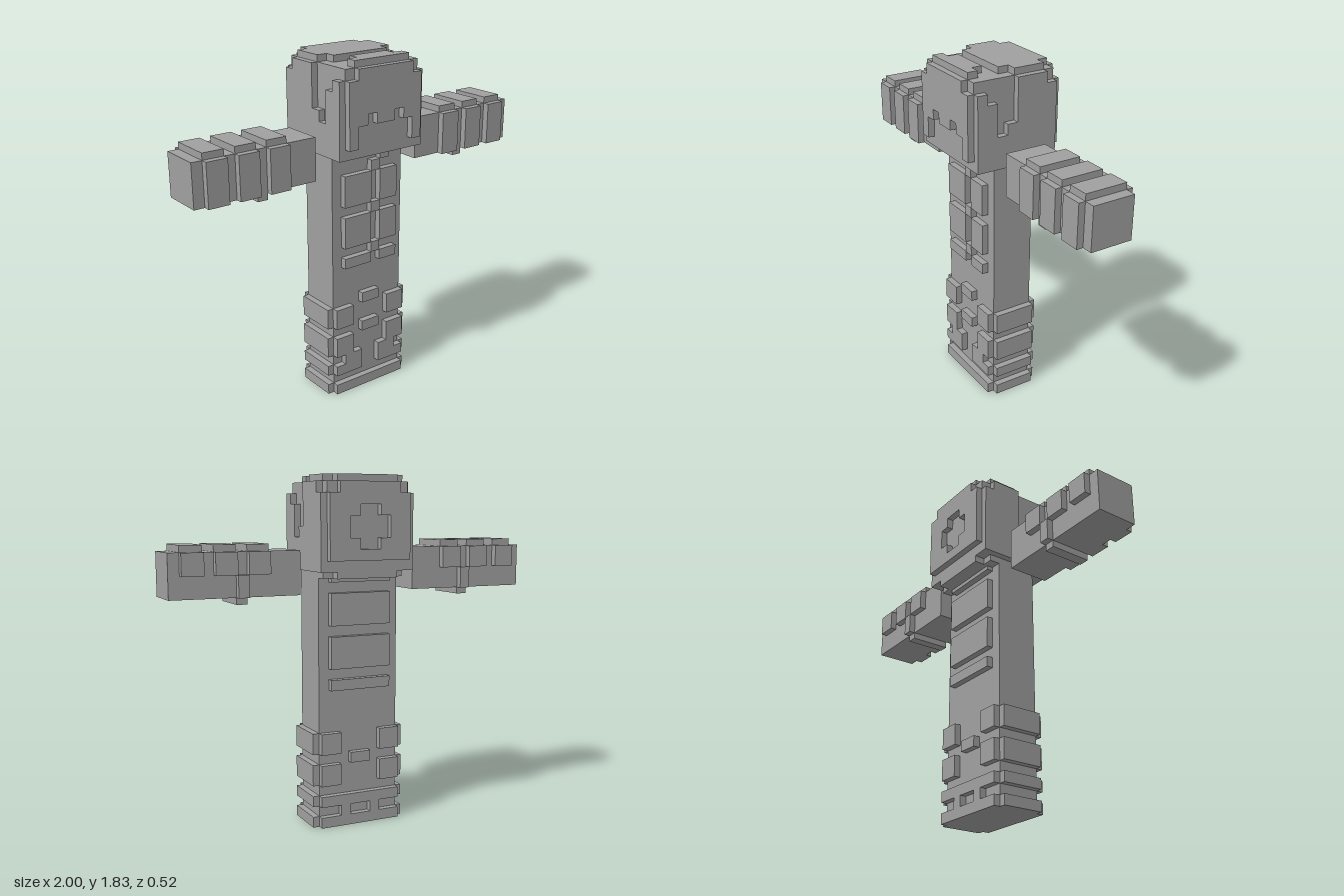
import * as THREE from 'three';

const U = 0.05625; // size of one block cell
const T = 0.62;    // thickness of the raised outer layer, in cells
const gray = new THREE.MeshStandardMaterial({ color: 0xa0a0a0 });
gray.name = 'stone gray';

export function createModel() {
  const model = new THREE.Group();
  model.name = 'blockFigure';

  const group = (name) => {
    const g = new THREE.Group();
    g.name = name;
    model.add(g);
    return g;
  };
  const addMesh = (parent, name, geometry) => {
    const m = new THREE.Mesh(geometry, gray);
    m.name = name;
    parent.add(m);
  };
  // Box from its limits, in cells
  const box = (parent, name, x0, x1, y0, y1, z0, z1) => {
    const g = new THREE.BoxGeometry(Math.abs(x1 - x0), y1 - y0, z1 - z0);
    g.translate((x0 + x1) / 2, (y0 + y1) / 2, (z0 + z1) / 2);
    addMesh(parent, name, g.scale(U, U, U));
  };
  // Stepped outline extruded to the layer thickness
  const plate = (points, holePoints) => {
    const toPoints = (list) => list.map(([x, y]) => new THREE.Vector2(x, y));
    const shape = new THREE.Shape(toPoints(points));
    if (holePoints) shape.holes.push(new THREE.Path(toPoints(holePoints)));
    return new THREE.ExtrudeGeometry(shape, { depth: T, bevelEnabled: false });
  };
  // Completes a half outline by mirroring it across x = 0
  const mirror = (half) => {
    const inner = half.filter(([x]) => x > 0);
    return [...inner, ...inner.map(([x, y]) => [-x, y]).reverse()];
  };

  // Head with its outer hair layer
  const head = group('head');
  box(head, 'headBlock', -4, 4, 24, 32, -4, 4);
  const hair = (name, g, x, y, z) => addMesh(head, name, g.translate(x, y, z).scale(U, U, U));
  // the fringe passes through x = 0 at the level of its inner steps
  const fringe = mirror([[1, 27], [1, 28], [2, 28], [2, 27], [3, 27], [3, 25], [4, 25], [4, 31], [3, 31], [3, 32]]);
  hair('frontHair', plate(fringe), 0, 0, 4);
  const backOutline = mirror([[4, 25], [4, 31], [3, 31], [3, 32]]);
  const cross = mirror([[1, 26], [1, 27], [2, 27], [2, 29], [1, 29], [1, 30]]);
  hair('backHair', plate(backOutline, cross), 0, 0, -4 - T);
  const sideOutline = [[-4, 24], [4, 24], [4, 31], [3, 31], [3, 30], [2, 30], [2, 27], [1, 27],
    [1, 28], [0, 28], [0, 32], [-3, 32], [-3, 31], [-4, 31]];
  for (const x of [4 + T, -4]) {
    hair('sideHair', plate(sideOutline).rotateY(-Math.PI / 2), x, 0, 0);
  }
  const crownBack = mirror([[3, -4], [3, -3], [4, -3], [4, 0], [3, 0], [3, 1]]);
  const crownFront = mirror([[2, 2], [2, 3], [3, 3], [3, 4]]);
  const nape = mirror([[3, -4], [3, -3], [4, -3], [4, -2]]);
  hair('crownBack', plate(crownBack).rotateX(Math.PI / 2), 0, 32 + T, 0);
  hair('crownFront', plate(crownFront).rotateX(Math.PI / 2), 0, 32 + T, 0);
  hair('napeHair', plate(nape).rotateX(Math.PI / 2), 0, 24, 0);

  // Torso and legs in one column
  const body = group('body');
  box(body, 'bodyBlock', -4, 4, 0, 24, -2, 2);
  const front = (name, x0, x1, y0, y1) => box(body, name, x0, x1, y0, y1, 2, 2 + T);
  const back = (name, x0, x1, y0, y1) => box(body, name, x0, x1, y0, y1, -2 - T, -2);

  // Chest and back plates
  for (const [y0, y1] of [[19, 22], [15, 18], [13, 14]]) {
    front('chestPlate', -3, 0, y0, y1);
    front('chestPlate', 1, 3, y0, y1);
    back('backPlate', -3, 3, y0, y1);
  }
  for (const y of [22, 18, 14]) front('chestClasp', 0, 1, y, y + 1);
  front('collarClasp', 1, 2, 23, 24);
  back('collar', -3, 3, 23, 24);

  // Leg wrappings
  front('kneeStud', -1, 1, 9, 10);
  front('kneeStud', -1, 1, 6, 7);
  back('kneeStud', -1, 1, 6, 7);
  front('footBand', -4, 4, 0, 1);
  back('footBand', -4, 4, 0, 1);
  back('ankleBand', -4, 4, 2, 3);
  const shinOutline = [[4, 2], [4, 3], [3, 3], [3, 4], [4, 4], [4, 6], [2, 6], [2, 4], [1, 4], [1, 2]];
  for (const s of [1, -1]) {
    front('thighPlate', 2 * s, 4 * s, 7, 9);
    back('thighPlate', 2 * s, 4 * s, 7, 9);
    back('shinPlate', 2 * s, 4 * s, 4, 6);
    back('ankleLink', s, 2 * s, 1, 2);
    const shin = plate(shinOutline.map(([x, y]) => [x * s, y]));
    addMesh(body, 'shinPlate', shin.translate(0, 0, 2).scale(U, U, U));
    for (const [y0, y1] of [[7, 9], [4, 6], [2, 3], [0, 1]]) {
      box(body, 'sideBand', 4 * s, (4 + T) * s, y0, y1, -2, 2);
    }
  }

  // Arms, stretched out sideways and floating clear of the body
  const tip = 1 / U;
  for (const s of [1, -1]) {
    const arm = group(s > 0 ? 'leftArm' : 'rightArm');
    arm.position.set(0, s > 0 ? -0.004 : 0.002, -0.005 * s);
    // a and b count cells inward from the hand
    const part = (name, a, b, y0, y1, z0, z1) =>
      box(arm, name, s * (tip - a), s * (tip - b), y0, y1, z0, z1);
    part('armBlock', 0, 12, 22, 26, -2, 2);
    for (const a of [1, 4, 7]) {
      part('armTopBand', a, a + 2, 26, 26 + T, -2, 2);
      part('armFrontBand', a, a + 2, 22, 26, 2, 2 + T);
      part('armBackBand', a, a + 2, 24, 26, -2 - T, -2);
    }
    part('armBackLink', 6, 7, 22, 24, -2 - T, -2);
    part('armUnderStrap', 6, 7, 22 - T, 22, -2, 2);
  }
  return model;
}
